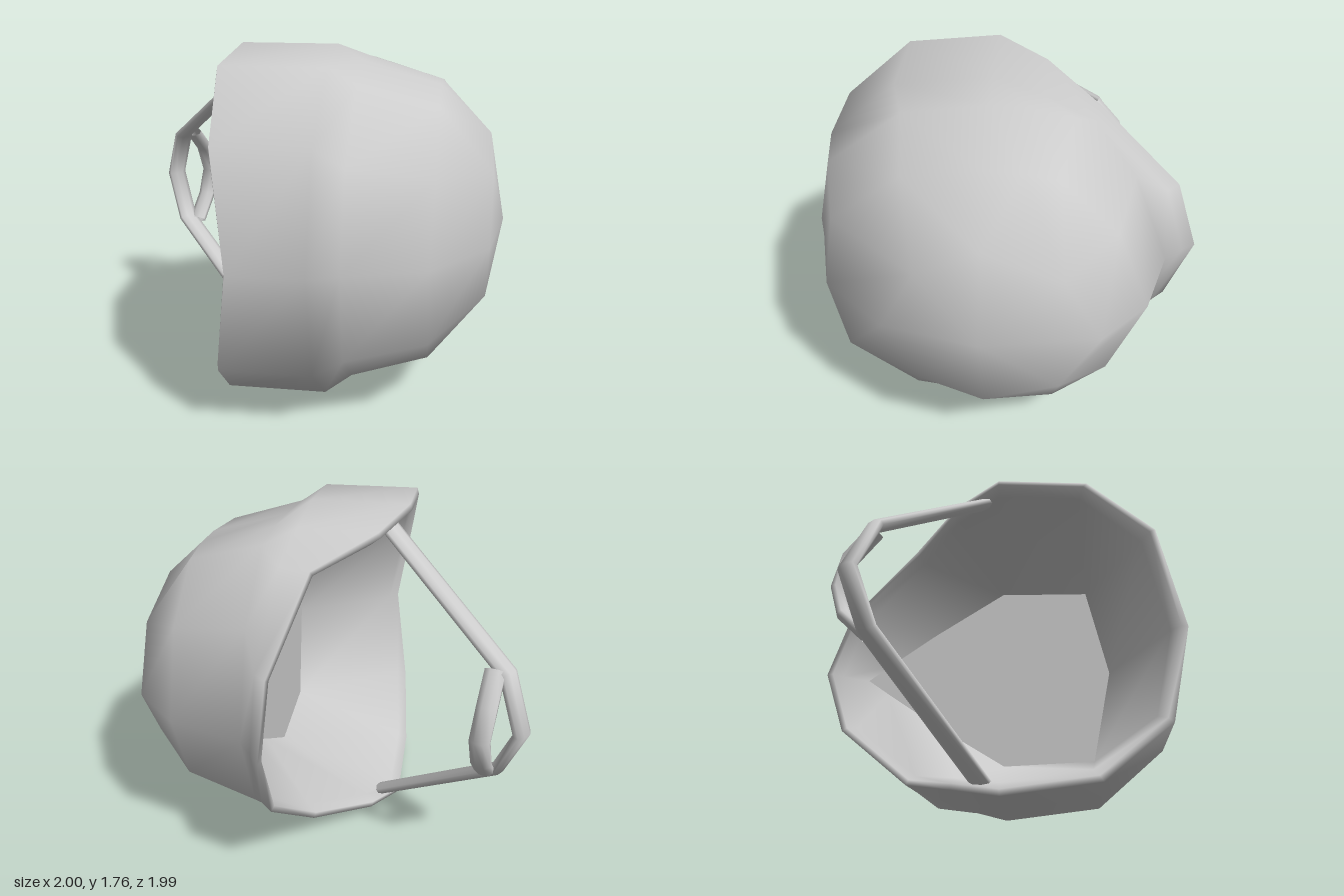
import * as THREE from 'three';
import { mergeVertices } from 'three/addons/utils/BufferGeometryUtils.js';

const MID = 0.88; // height of the mirror plane

// Half outlines [z, y] from front to back; mirrored into closed rings.
// Repeated points let a ring have fewer corners than its neighbour.
const RIM = [[1, 0], [0.87, 0.61], [0.52, 0.94], [0.04, 1], [-0.21, 0.92], [-0.48, 0.8], [-0.88, 0.4], [-1, 0]];
const ROUND = [[1, 0], [0.91, 0.57], [0.5, 0.93], [0.05, 1], [-0.18, 1], [-0.41, 0.96], [-0.77, 0.6], [-1, 0]];
const CROWN = [[1, 0], [0.66, 0.71], [0.66, 0.71], [0.08, 1], [0.08, 1], [-0.64, 0.71], [-0.64, 0.71], [-1, 0]];
const FLOOR = [[1, 0], [0.82, 0.97], [0.82, 0.97], [0.02, 1], [0.02, 1], [-0.5, 0.52], [-0.85, 0.16], [-1, 0]];

// One cross-section: x per half-outline point, front, back and vertical reach
function ring(outline, xs, front, back, tall, scale = 1, dx = 0) {
  const half = outline.map(([z, y], i) => new THREE.Vector3(
    xs[i] + dx, y * tall * scale, z * (z > 0 ? front : back) * scale));
  const mirrored = half.slice(1, -1).reverse().map((p) => new THREE.Vector3(p.x, -p.y, p.z));
  return [...half, ...mirrored].map((p) => p.setY(p.y + MID));
}

// Smooth skin over a list of closed rings
function loft(rings) {
  const n = rings[0].length, pos = [], index = [];
  rings.forEach((r) => r.forEach((p) => pos.push(p.x, p.y, p.z)));
  for (let i = 0; i < rings.length - 1; i++) {
    for (let j = 0; j < n; j++) {
      const a = i * n + j, b = i * n + (j + 1) % n;
      index.push(a, b, a + n, b, b + n, a + n);
    }
  }
  let g = new THREE.BufferGeometry();
  g.setAttribute('position', new THREE.Float32BufferAttribute(pos, 3));
  g.setIndex(index);
  g = mergeVertices(g, 1e-4);
  g.computeVertexNormals();
  return g;
}

// Flattened oval strap along the upper half path and its mirror image
function strapGeometry(half, width, thickness) {
  const upper = half.map((p) => new THREE.Vector3(...p));
  const lower = upper.slice(0, -1).reverse().map((p) => new THREE.Vector3(p.x, 2 * MID - p.y, p.z));
  const path = [...upper, ...lower], last = path.length - 1;
  const across = upper[upper.length - 1].clone().sub(upper[0]).setY(0)
    .cross(new THREE.Vector3(0, 1, 0)).normalize();
  const dir = (k) => path[k + 1].clone().sub(path[k]).normalize();
  return loft(path.map((c, k) => {
    const before = dir(Math.max(k - 1, 0)), after = dir(Math.min(k, last - 1));
    const tangent = before.clone().add(after).normalize();
    const depth = tangent.clone().cross(across).divideScalar(tangent.dot(before));
    return Array.from({ length: 8 }, (_, j) => {
      const a = (j + 0.5) * Math.PI / 4;
      return c.clone().addScaledVector(across, Math.cos(a) * width / 2)
        .addScaledVector(depth, Math.sin(a) * thickness / 2);
    });
  }));
}

export function createModel() {
  const group = new THREE.Group();
  group.name = 'helmet';
  const material = new THREE.MeshStandardMaterial({ color: 0xcccccc, side: THREE.DoubleSide });
  const add = (name, geometry) => {
    const mesh = new THREE.Mesh(geometry, material);
    mesh.name = name;
    group.add(mesh);
  };

  // Helmet shell: crown, shoulder step, flared rim, then the wall of the hollow
  const crown = [0.9, 0.91, 0.91, 0.91, 0.91, 0.92, 0.92, 0.92];
  const side = [0.62, 0.63, 0.64, 0.65, 0.66, 0.67, 0.69, 0.69];
  const step = [0.24, 0.25, 0.26, 0.26, 0.28, 0.3, 0.32, 0.32];
  const band = [0.1, 0.11, 0.13, 0.13, 0.16, 0.2, 0.24, 0.25];
  const rim = [-0.26, -0.34, -0.38, -0.37, -0.24, 0.04, 0.17, 0.19];
  const level = (x) => RIM.map(() => x);
  const apex = (x, z) => Array.from({ length: 14 }, () => new THREE.Vector3(x, MID, z));
  const floor = ring(FLOOR, level(0.31), 0.62, 0.78, 0.54);
  add('shell', loft([
    apex(1, 0.05),
    ring(CROWN, crown, 0.5, 0.5, 0.45),
    ring(ROUND, side, 0.82, 0.72, 0.69),
    ring(ROUND, step, 0.93, 0.84, 0.8),
    ring(RIM, band, 0.98, 0.93, 0.88),
    ring(RIM, rim, 0.99, 1, 0.88, 1, 0.01),
    ring(RIM, rim, 0.99, 1, 0.88, 0.965),
    ring(RIM, rim, 0.99, 1, 0.88, 0.915, 0.05),
    floor,
  ]));
  add('hollowFloor', loft([floor, apex(0.31, 0)]));

  // Chin strap hanging from the shell, with a second loop forming the chin cup
  add('chinStrap', strapGeometry([[-0.25, 1.69, -0.04], [-0.87, 1.145, -0.495], [-0.955, MID, -0.58]], 0.115, 0.06));
  add('chinLoop', strapGeometry([[-0.81, 1.16, -0.5], [-0.78, 1.03, -0.625], [-0.76, MID, -0.67]], 0.105, 0.06));
  return group;
}
